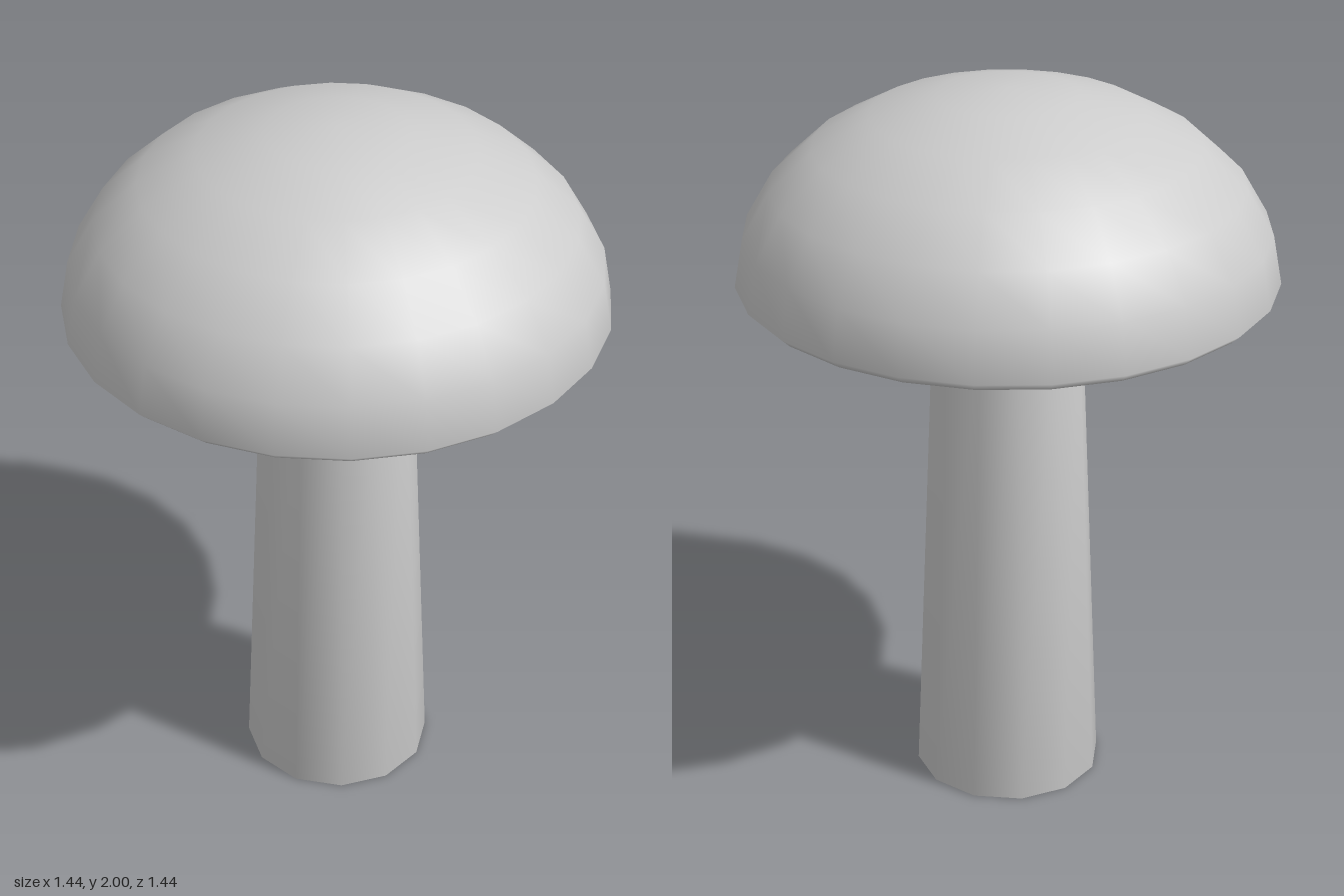
import * as THREE from 'three';
import { mergeVertices } from 'three/addons/utils/BufferGeometryUtils.js';

// Weld all coincident corners so shading runs smoothly over every edge
function weld(geometry) {
  geometry.deleteAttribute('normal');
  geometry.deleteAttribute('uv');
  const welded = mergeVertices(geometry, 1e-4);
  welded.computeVertexNormals();
  return welded;
}

export function createModel() {
  const model = new THREE.Group();
  model.name = 'mushroom';
  const grey = new THREE.MeshStandardMaterial({ color: 0xcccccc });
  grey.name = 'light grey';

  // Stem: tapered, twelve sides, closed at both ends
  const stemGeometry = new THREE.CylinderGeometry(0.2, 0.26, 1.42, 12);
  stemGeometry.translate(0, 0.71, 0);
  const stem = new THREE.Mesh(weld(stemGeometry), grey);
  stem.name = 'stem';

  // Cap: a sphere with a domed top and a nearly flat underside
  const capGeometry = new THREE.SphereGeometry(0.72, 24, 12);
  const position = capGeometry.attributes.position;
  for (let i = 0; i < position.count; i++) {
    const height = position.getY(i) / 0.72;
    position.setY(i, 1.49 + height * (height > 0 ? 0.51 : 0.09));
  }
  const cap = new THREE.Mesh(weld(capGeometry), grey);
  cap.name = 'cap';

  model.add(stem, cap);
  return model;
}
